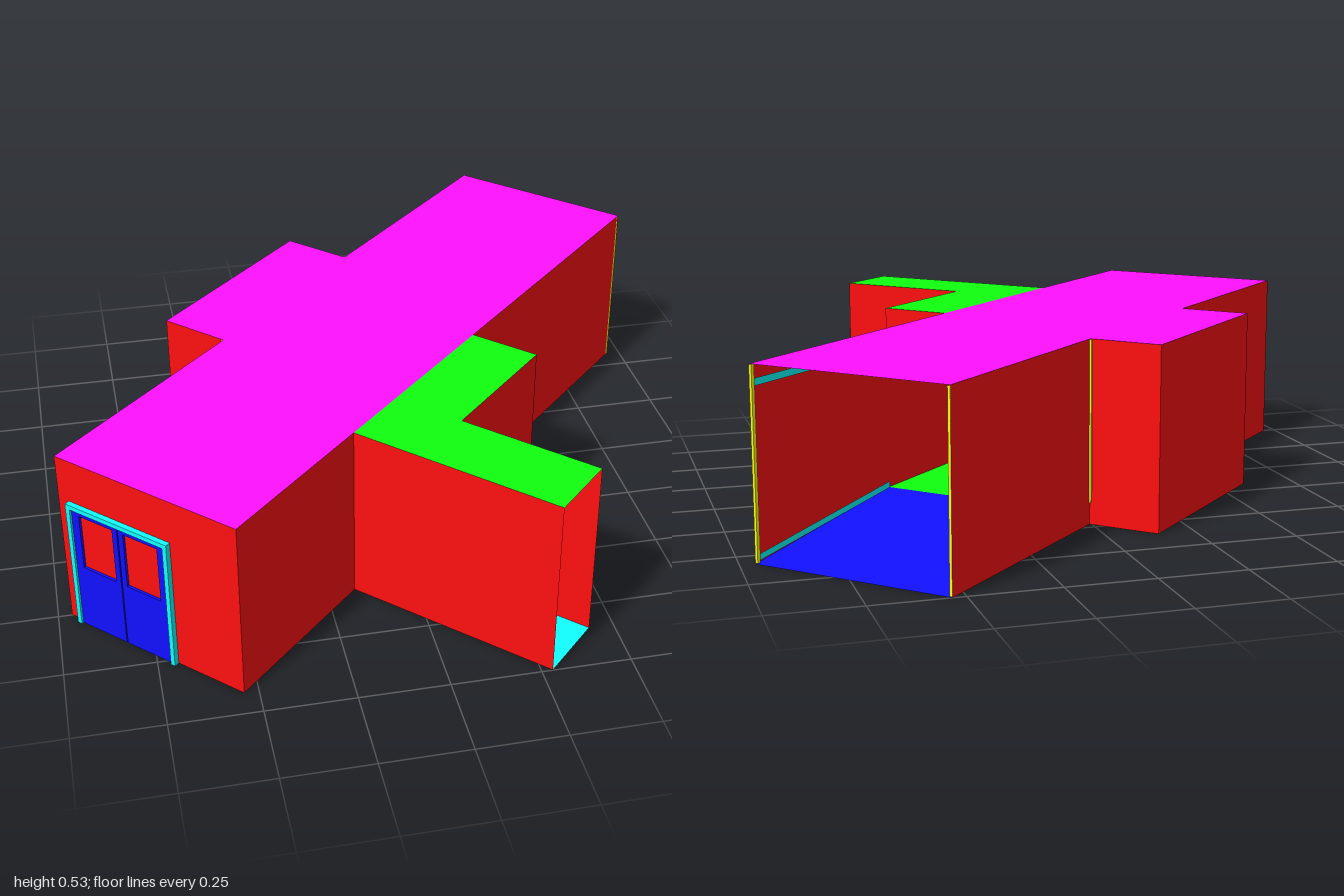
import * as THREE from 'three';

const H = 0.53, FLOOR = 0.062;
const COLORS = { red: 0xff1010, magenta: 0xff10ff, green: 0x10ff10, cyan: 0x10ffff, blue: 0x1010ff, yellow: 0xffff10, grey: 0xcccccc };
const mats = {};
for (const [k, color] of Object.entries(COLORS)) {
  mats[k] = new THREE.MeshStandardMaterial({ color, side: THREE.DoubleSide, flatShading: true });
}

export function createModel() {
  const model = new THREE.Group();
  // The plan is drawn along the long axis (x) and turned 45 degrees at the end.
  const plan = new THREE.Group();
  plan.name = 'building';
  plan.rotation.y = Math.PI / 4;
  model.add(plan);

  const add = (name, geo, mat) => {
    const m = new THREE.Mesh(geo, mats[mat]);
    m.name = name;
    plan.add(m);
    return m;
  };
  // Four-cornered sheet
  const quad = (name, mat, a, b, c, d) => {
    const g = new THREE.BufferGeometry();
    g.setAttribute('position', new THREE.Float32BufferAttribute([...a, ...b, ...c, ...d], 3));
    g.setIndex([0, 1, 2, 0, 2, 3]);
    g.computeVertexNormals();
    return add(name, g, mat);
  };
  const wall = (name, x0, z0, x1, z1, y0 = 0, y1 = H, mat = 'red') =>
    quad(name, mat, [x0, y0, z0], [x1, y0, z1], [x1, y1, z1], [x0, y1, z0]);
  // Floor from x0 to x1, with a height at each end
  const floor = (name, mat, x0, y0, x1, y1, z0, z1) =>
    quad(name, mat, [x0, y0, z0], [x0, y0, z1], [x1, y1, z1], [x1, y1, z0]);
  const outline = (pts) => new THREE.Shape(pts.map(([x, z]) => new THREE.Vector2(x, z)));
  const flat = (name, mat, pts, y) =>
    add(name, new THREE.ShapeGeometry(outline(pts)).rotateX(Math.PI / 2), mat).position.y = y;
  const box = (name, mat, w, h, d, x, y, z) =>
    add(name, new THREE.BoxGeometry(w, h, d), mat).position.set(x, y, z);

  // Key plan lines
  const L = -1.032, R = 1.087, B = -0.328, F = 0.269;
  const aL = -0.3, aR = 0.336, aB = -0.541;
  const hall = [[L, B], [aL, B], [aL, aB], [aR, aB], [aR, B], [R, B], [R, F], [L, F]];
  const side = [[-0.508, F], [-0.508, 0.905], [-0.297, 0.905], [-0.297, 0.481], [0.127, 0.481], [0.127, F]];

  // Roofs
  flat('hallRoof', 'magenta', hall, H);
  flat('sideRoof', 'green', side, H);

  // Hall walls; the right end stays open
  for (let i = 0; i < hall.length; i++) {
    if (i === 5) continue;
    wall('hallWall', ...hall[i], ...hall[(i + 1) % hall.length]);
  }
  // Side passage walls; its outer end stays open
  for (const i of [0, 2, 3, 4]) wall('sideWall', ...side[i], ...side[i + 1]);

  // Floors: ramp, raised floor, two steps down, entrance
  const rampX = 0.451, s1 = -0.5, s2 = -0.652;
  floor('ramp', 'blue', rampX, FLOOR, R, 0, B, F);
  floor('raisedFloor', 'green', s1, FLOOR, rampX, FLOOR, B, F);
  wall('stepRiser', s1, B, s1, F, FLOOR / 2, FLOOR, 'green');
  floor('stepTread', 'green', s2, FLOOR / 2, s1, FLOOR / 2, B, F);
  wall('stepRiser', s2, B, s2, F, 0, FLOOR / 2, 'green');
  floor('entranceFloor', 'grey', L, 0, s2, 0, B, F);
  floor('alcoveRamp', 'blue', aL, FLOOR, aR, 0, aB, B);
  flat('sideFloor', 'cyan', side, 0);

  // Wall strips beside the ramp, and corner posts
  for (const z of [B + 0.004, F - 0.004]) {
    quad('skirting', 'cyan', [rampX, FLOOR, z], [R, 0.005, z], [R, 0.023, z], [rampX, FLOOR + 0.018, z]);
    wall('wallStrip', rampX, z, R, z, 0.47, 0.49, 'cyan');
    box('openingPost', 'yellow', 0.012, H - 0.004, 0.008, R - 0.006, H / 2, z);
  }
  for (const x of [aL, aR]) box('alcovePost', 'yellow', 0.012, H - FLOOR - 0.004, 0.012, x, (H + FLOOR) / 2, B);

  // Small box hung from the ceiling at the head of the ramp
  box('ceilingBox', 'grey', 0.02, 0.05, 0.045, rampX + 0.03, H - 0.027, -0.03);

  // Door in the side passage
  box('sideDoor', 'grey', 0.2, 0.4, 0.008, -0.145, 0.2, F + 0.005);

  // Entrance double door: each leaf has a window hole
  const z0 = -0.292, z1 = 0.05, top = 0.4, t = 0.014, mid = (z0 + z1) / 2;
  for (const z of [z0 + t / 2, z1 - t / 2]) box('doorFrame', 'cyan', 0.016, top, t, L - 0.008, top / 2, z);
  box('doorFrame', 'cyan', 0.016, t, z1 - z0, L - 0.008, top - t / 2, mid);
  const w = (z1 - z0) / 2 - t - 0.002;
  for (const s of [-1, 1]) {
    const leaf = outline([[-w / 2, 0], [w / 2, 0], [w / 2, top - t], [-w / 2, top - t]]);
    const cx = -s * 0.004;
    leaf.holes.push(new THREE.Path([[-0.057, 0.2], [-0.057, 0.37], [0.057, 0.37], [0.057, 0.2]]
      .map(([x, y]) => new THREE.Vector2(x + cx, y))));
    const g = new THREE.ExtrudeGeometry(leaf, { depth: 0.008, bevelEnabled: false });
    g.rotateY(-Math.PI / 2);
    add('doorLeaf', g, 'blue').position.set(L - 0.001, 0, mid + s * (w / 2 + 0.002));
  }
  return model;
}
